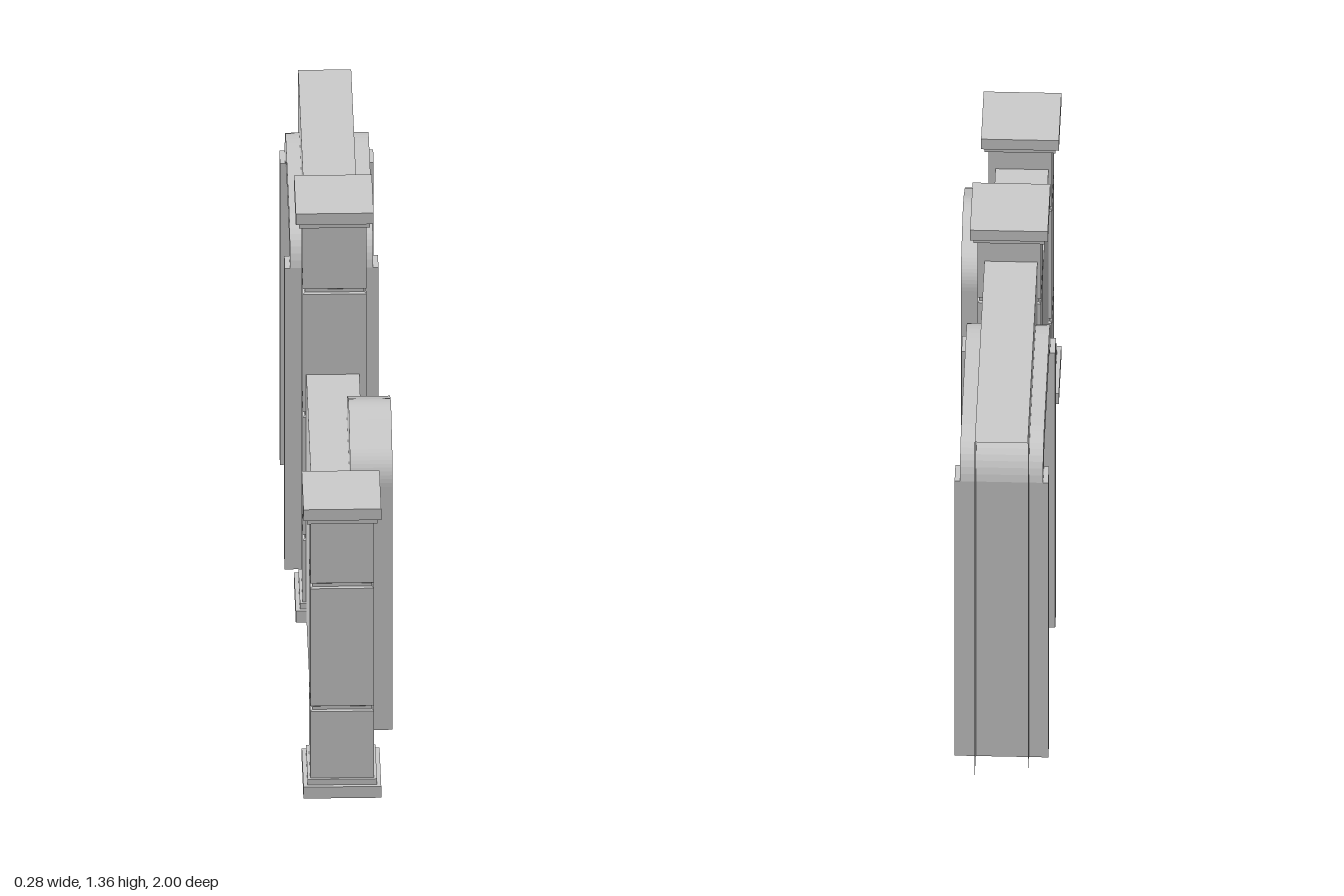
import * as THREE from 'three';

export function createModel() {
  const model = new THREE.Group();
  const stone = new THREE.MeshStandardMaterial({ color: 0xcccccc, side: THREE.DoubleSide });
  stone.name = 'grey stone';

  function add(name, geometry, parent = model) {
    const mesh = new THREE.Mesh(geometry, stone);
    mesh.name = name;
    parent.add(mesh);
    return mesh;
  }

  // Box given by its limits; openBottom leaves out the underside
  function box(x0, x1, y0, y1, z0, z1, openBottom = false) {
    const g = new THREE.BoxGeometry(x1 - x0, y1 - y0, z1 - z0);
    if (openBottom) {
      const i = Array.from(g.index.array);
      i.splice(18, 6);
      g.setIndex(i);
      g.clearGroups();
    }
    return g.translate((x0 + x1) / 2, (y0 + y1) / 2, (z0 + z1) / 2);
  }

  // Shapes are drawn with u = -z and stand across the x axis
  const stand = (g, x) => g.rotateY(Math.PI / 2).translate(x, 0, 0);
  const extrude = (shape, x0, x1) => stand(new THREE.ExtrudeGeometry(shape,
    { depth: x1 - x0, bevelEnabled: false, curveSegments: 10 }), x0);

  // Square pillar: stepped plinth, grooved shaft, stepped cap, open below
  function pillar(name, z, y0, y1, grooves) {
    const p = [[0.11, y0], [0.11, y0 + 0.037], [0.098, y0 + 0.037], [0.098, y0 + 0.055], [0.09, y0 + 0.055]];
    for (const y of grooves)
      p.push([0.09, y - 0.009], [0.084, y - 0.005], [0.084, y + 0.005], [0.09, y + 0.009]);
    p.push([0.09, y1 - 0.053], [0.1, y1 - 0.053], [0.1, y1 - 0.036], [0.11, y1 - 0.036], [0.11, y1], [0, y1]);
    const g = new THREE.LatheGeometry(p.map(([r, y]) => new THREE.Vector2(r * Math.SQRT2, y)), 4)
      .rotateY(Math.PI / 4).toNonIndexed();
    g.computeVertexNormals();
    add(name, g).position.set(-0.01, 0, z);
  }
  pillar('endPillar', 0.885, 0, 0.94, [0.28, 0.68]);
  pillar('middlePillar', -0.073, 0.025, 1.355, [0.29, 0.69, 1.09]);

  // Low wall between the pillars
  add('lowWall', box(-0.09, 0.06, 0.04, 0.82, 0, 0.82, true));

  // Pointed niche with a raised frame
  function nicheOutline(path, inset) {
    const c = -0.442, w = 0.202 - inset, b = 0.02 + inset, t = 0.965 - inset;
    path.moveTo(c - w, b);
    path.lineTo(c + w, b);
    path.lineTo(c + w, 0.81);
    path.quadraticCurveTo(c + w, 0.875 - inset * 0.5, c + w * 0.75, 0.905 - inset);
    path.lineTo(c + w * 0.3, t - 0.016);
    path.quadraticCurveTo(c, t + 0.014, c - w * 0.3, t - 0.016);
    path.lineTo(c - w * 0.75, 0.905 - inset);
    path.quadraticCurveTo(c - w, 0.875 - inset * 0.5, c - w, 0.81);
    path.closePath();
    return path;
  }
  const niche = new THREE.Group();
  niche.name = 'niche';
  model.add(niche);
  const frame = nicheOutline(new THREE.Shape(), 0);
  frame.holes.push(nicheOutline(new THREE.Path(), 0.028));
  add('nicheFrame', extrude(frame, 0.02, 0.14), niche);
  add('nichePanel', extrude(nicheOutline(new THREE.Shape(), 0.028), 0.02, 0.09), niche);

  // Tall gate wall: two sheets and a top, open at the far end and below
  function arch(path, u0, u1, y, top, r) {
    path.lineTo(u0, y);
    path.bezierCurveTo(u0 + r * 0.1, top - (top - y) * 0.3, u0 + r * 0.4, top, u0 + r, top);
    path.lineTo(u1 - r, top);
    path.bezierCurveTo(u1 - r * 0.4, top, u1 - r * 0.1, top - (top - y) * 0.3, u1, y);
  }
  const sheet = new THREE.Shape();
  sheet.moveTo(0.1, 0.04);
  sheet.lineTo(0.24, 0.04);
  arch(sheet, 0.24, 0.91, 1.02, 1.13, 0.15);
  sheet.lineTo(0.91, 0.04);
  sheet.lineTo(1, 0.04);
  sheet.lineTo(1, 1.23);
  sheet.lineTo(0.1, 1.23);
  sheet.closePath();
  for (const [name, x] of [['gateWallLeft', 0.06], ['gateWallRight', -0.09]]) {
    const g = new THREE.ShapeGeometry(sheet, 10);
    if (x < 0) g.scale(1, 1, -1).index.array.reverse();
    add(name, stand(g, x));
  }
  const top = new THREE.PlaneGeometry(0.15, 0.9).rotateX(-Math.PI / 2);
  add('gateWallTop', top.translate(-0.015, 1.23, -0.55));

  // Arch moulding and jambs around the gate opening
  const moulding = new THREE.Shape();
  moulding.moveTo(0.24, 1.01);
  arch(moulding, 0.24, 0.91, 1.02, 1.13, 0.15);
  moulding.lineTo(0.91, 1.01);
  moulding.lineTo(0.835, 1.01);
  moulding.bezierCurveTo(0.83, 1.045, 0.81, 1.06, 0.77, 1.06);
  moulding.lineTo(0.375, 1.06);
  moulding.bezierCurveTo(0.335, 1.06, 0.315, 1.045, 0.31, 1.01);
  moulding.closePath();
  add('gateArch', extrude(moulding, -0.13, 0.105));
  for (const [name, z0, z1] of [['nearJamb', -0.31, -0.24], ['farJamb', -0.91, -0.835]])
    add(name, box(-0.145, 0.12, 0.04, 1.02, z0, z1, true));

  // Portcullis: spiked uprights and crossbars
  const portcullis = new THREE.Group();
  portcullis.name = 'portcullis';
  model.add(portcullis);
  const bar = [[0, 0.012], [0.006, 0.02], [0.016, 0.085], [0.016, 0.1], [0.012, 0.105], [0.012, 1.075]];
  for (let i = 0; i < 5; i++) {
    const g = new THREE.LatheGeometry(bar.map(([r, y]) => new THREE.Vector2(r * Math.SQRT2, y)), 4)
      .rotateY(Math.PI / 4).toNonIndexed();
    g.computeVertexNormals();
    add('upright', g, portcullis).position.set(-0.013, 0, -0.378 - i * 0.099);
  }
  for (let i = 0; i < 6; i++) {
    const y = 0.116 + i * 0.181;
    add('crossbar', box(-0.03, 0.005, y - 0.013, y + 0.013, -0.835, -0.31), portcullis);
  }
  return model;
}
